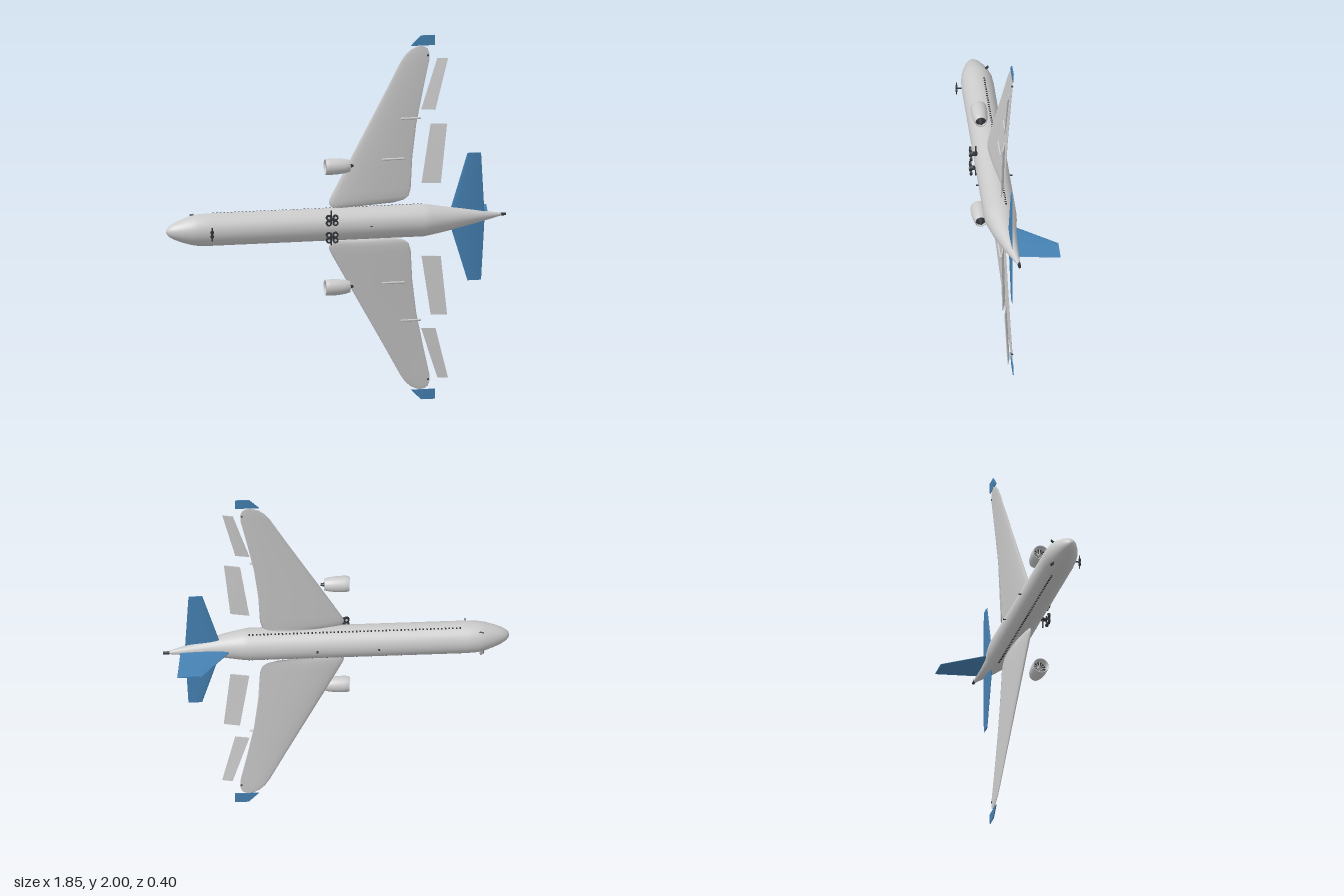
import * as THREE from 'three';

const V = (x, y, z) => new THREE.Vector3(x, y, z);
const mat = (color, extra = {}) => new THREE.MeshStandardMaterial({ color, ...extra });

// Skin through closed rings of points, with capped ends, always facing outward
function loft(rings) {
  const pos = [], idx = [], n = rings[0].length;
  rings.forEach(r => r.forEach(p => pos.push(p)));
  for (let i = 0; i < rings.length - 1; i++) for (let j = 0; j < n; j++) {
    const a = i * n + j, b = i * n + (j + 1) % n;
    idx.push(a, b, a + n, b, b + n, a + n);
  }
  [rings[0], rings[rings.length - 1]].forEach((r, end) => {
    const base = pos.length, mid = V(0, 0, 0);
    r.forEach(p => { pos.push(p); mid.addScaledVector(p, 1 / n); });
    pos.push(mid);
    for (let j = 0; j < n; j++) {
      const a = base + j, b = base + (j + 1) % n;
      end ? idx.push(a, b, base + n) : idx.push(b, a, base + n);
    }
  });
  let volume = 0;
  for (let i = 0; i < idx.length; i += 3) {
    volume += pos[idx[i]].dot(V(0, 0, 0).crossVectors(pos[idx[i + 1]], pos[idx[i + 2]]));
  }
  if (volume < 0) idx.reverse();
  const g = new THREE.BufferGeometry().setFromPoints(pos);
  g.setIndex(idx);
  g.computeVertexNormals();
  return g;
}

// Aerofoil ring between a leading and a trailing point
function foil(le, te, half, normal, n = 12) {
  const ring = [];
  for (let j = 0; j < 2 * n; j++) {
    const t = (1 - Math.cos(Math.PI * j / n)) / 2;
    const h = half * (2.6 * Math.sqrt(t) * (1 - t) + 0.05) * (j < n ? 1 : -1);
    ring.push(le.clone().lerp(te, t).addScaledVector(normal, h));
  }
  return ring;
}

// Flat panel from four corners, thickened along z
const plate = (corners, t) => loft([-t / 2, t / 2].map(d => corners.map(c => V(c[0], c[1], c[2] + d))));

export function createModel() {
  const model = new THREE.Group();
  const body = new THREE.Group();
  body.name = 'airliner';
  body.position.y = 1;
  model.add(body);

  const grey = mat(0xcccccc), blue = mat(0x4682b4), dark = mat(0x33363a);
  const greyFlat = mat(0xcccccc, { flatShading: true });
  const blueFlat = mat(0x4682b4, { flatShading: true });
  const open = mat(0xcccccc, { side: THREE.DoubleSide });
  const add = (name, geo, m, x = 0, y = 0, z = 0, parent = body) => {
    const mesh = new THREE.Mesh(geo, m);
    mesh.name = name;
    mesh.position.set(x, y, z);
    parent.add(mesh);
    return mesh;
  };

  // Fuselage: x, radius, centre z
  const hull = [[-0.93, 0.004, 0.083], [-0.925, 0.016, 0.083], [-0.912, 0.03, 0.082], [-0.89, 0.043, 0.081],
    [-0.85, 0.06, 0.079], [-0.8, 0.076, 0.077], [-0.76, 0.084, 0.075], [-0.7, 0.087, 0.075], [-0.3, 0.087, 0.075],
    [0.1, 0.087, 0.075], [0.46, 0.087, 0.075], [0.5, 0.082, 0.073], [0.6, 0.064, 0.068],
    [0.75, 0.037, 0.047], [0.9, 0.007, 0.021]];
  add('fuselage', loft(hull.map(([x, r, z]) => Array.from({ length: 40 }, (_, j) => {
    const a = j / 40 * Math.PI * 2;
    return V(x, r * Math.cos(a), z + r * Math.sin(a));
  }))), grey);
  add('tailExhaust', new THREE.CylinderGeometry(0.007, 0.009, 0.034, 16), dark, 0.907, 0, 0.02).rotation.z = -Math.PI / 2;

  // Fin
  const side = V(0, 1, 0), down = V(0, 0, 1);
  add('fin', loft([
    foil(V(0.56, 0, 0.012), V(0.83, 0, 0.02), 0.008, side),
    foil(V(0.73, 0, -0.207), V(0.86, 0, -0.207), 0.004, side),
  ]), blue);

  // Antennas
  [[-0.23, -0.018], [0.1, -0.018], [0.17, 0.166]].forEach(([x, z]) =>
    add('antenna', new THREE.BoxGeometry(0.01, 0.003, 0.018), dark, x, 0, z));

  // Wing outline: span, leading x, trailing x, half thickness
  const wing = [[0.09, 0.0, 0.2, 0.002], [0.097, -0.032, 0.31, 0.009], [0.11, -0.045, 0.365, 0.013],
    [0.13, -0.048, 0.392, 0.015], [0.17, -0.029, 0.404, 0.016], [0.34, 0.065, 0.414, 0.013],
    [0.52, 0.165, 0.437, 0.01], [0.7, 0.265, 0.474, 0.007], [0.86, 0.352, 0.51, 0.005],
    [0.9, 0.38, 0.511, 0.004], [0.925, 0.408, 0.503, 0.003], [0.938, 0.435, 0.488, 0.002], [0.943, 0.455, 0.472, 0.001]];
  const wingZ = (s, root) => THREE.MathUtils.mapLinear(s, 0.09, 0.943, root, 0.013);

  [1, -1].forEach(k => {
    const half = new THREE.Group();
    half.name = k > 0 ? 'upperSideParts' : 'lowerSideParts';
    body.add(half);
    const put = (name, geo, m, x = 0, y = 0, z = 0) => add(name, geo, m, x, k * y, z, half);

    put('wing', loft(wing.map(([s, a, b, h]) =>
      foil(V(a, k * s, wingZ(s, 0.09)), V(b, k * s, wingZ(s, 0.048)), h, down))), grey);

    // Trailing panels and wing tip
    const panel = (name, pts, t, m) => put(name, plate(pts.map(([x, s, z]) => [x, k * s, z]), t), m);
    panel('flap', [[0.46, 0.2, 0.06], [0.56, 0.2, 0.081], [0.595, 0.525, 0.077], [0.51, 0.525, 0.057]], 0.005, greyFlat);
    panel('aileron', [[0.46, 0.6, 0.045], [0.535, 0.6, 0.06], [0.605, 0.878, 0.05], [0.55, 0.878, 0.037]], 0.004, greyFlat);
    panel('wingTip', [[0.41, 0.945, 0.015], [0.54, 0.945, 0.015], [0.54, 1, 0.014], [0.465, 1, 0.014]], 0.005, blueFlat);
    put('tipLight', new THREE.SphereGeometry(0.006, 10, 8), dark, 0.503, 0.89, 0.016);

    // Tailplane
    put('tailplane', loft([
      foil(V(0.605, 0, 0.045), V(0.805, 0, 0.045), 0.007, down),
      foil(V(0.712, k * 0.35, 0.043), V(0.786, k * 0.35, 0.043), 0.003, down),
    ]), blue);

    // Fairings under the wing
    [[0.307, 0.34, 0.064, 0.125], [0.405, 0.555, 0.047, 0.11]].forEach(([x, s, z, len]) => {
      const f = put('trackFairing', new THREE.CapsuleGeometry(0.006, len - 0.012, 4, 10), grey, x, s, z);
      f.rotation.z = Math.PI / 2;
    });

    // Engine, axis along x
    const engine = new THREE.Group();
    engine.name = 'engine';
    engine.position.set(0, k * 0.332, 0.137);
    engine.rotation.z = -Math.PI / 2;
    half.add(engine);
    const shell = [[0.034, -0.03], [0.035, -0.07], [0.038, -0.079], [0.042, -0.076], [0.044, -0.05],
      [0.043, -0.01], [0.038, 0.03], [0.031, 0.056], [0.028, 0.055], [0.033, 0.02]];
    add('nacelle', new THREE.LatheGeometry(shell.map(p => new THREE.Vector2(...p)), 32), open, 0, 0, 0, engine);
    add('fanDisc', new THREE.CylinderGeometry(0.035, 0.035, 0.006, 32), dark, 0, -0.035, 0, engine);
    add('fanHub', new THREE.ConeGeometry(0.011, 0.025, 16), grey, 0, -0.05, 0, engine).rotation.x = Math.PI;
    add('rearDisc', new THREE.CylinderGeometry(0.031, 0.031, 0.004, 32), dark, 0, 0.035, 0, engine);
    add('exhaustCone', new THREE.CylinderGeometry(0.006, 0.017, 0.042, 16), dark, 0, 0.055, 0, engine);
    for (let i = 0; i < 12; i++) {
      const a = i / 12 * Math.PI * 2;
      const blade = add('fanBlade', new THREE.BoxGeometry(0.022, 0.006, 0.003), grey,
        0.022 * Math.cos(a), -0.041, 0.022 * Math.sin(a), engine);
      blade.rotation.y = -a;
    }

    // Main gear bogie
    for (const x of [-0.066, -0.03]) for (const s of [0.032, 0.062]) {
      put('mainWheel', new THREE.CylinderGeometry(0.016, 0.016, 0.012, 20), dark, x, s, 0.182).rotation.x = Math.PI / 2;
      put('wheelHub', new THREE.CylinderGeometry(0.007, 0.007, 0.016, 12), grey, x, s, 0.182).rotation.x = Math.PI / 2;
    }
    put('mainStrut', new THREE.CylinderGeometry(0.004, 0.004, 0.07, 10), dark, -0.048, 0.06, 0.154);
    put('mainLeg', new THREE.BoxGeometry(0.03, 0.008, 0.04), dark, -0.048, 0.047, 0.162);

    // Nose gear wheel
    put('noseWheel', new THREE.CylinderGeometry(0.01, 0.01, 0.01, 18), dark, -0.7, 0.011, 0.19).rotation.x = Math.PI / 2;

    // Cabin and cockpit windows
    for (let i = 0; i < 58; i++) {
      put('cabinWindow', new THREE.BoxGeometry(0.008, 0.004, 0.01), dark, -0.667 + i * 0.0198, 0.0812, 0.045);
    }
    const pane = put('cockpitWindow', new THREE.BoxGeometry(0.022, 0.006, 0.032), dark, -0.78, 0.062, 0.024);
    pane.rotation.set(k * 0.69, 0, k * 0.2);
  });

  // Nose gear axle and leg
  add('noseAxle', new THREE.CylinderGeometry(0.003, 0.003, 0.075, 10), dark, -0.7, 0, 0.19);
  add('noseLeg', new THREE.BoxGeometry(0.006, 0.006, 0.03), dark, -0.7, 0, 0.174);
  return model;
}
